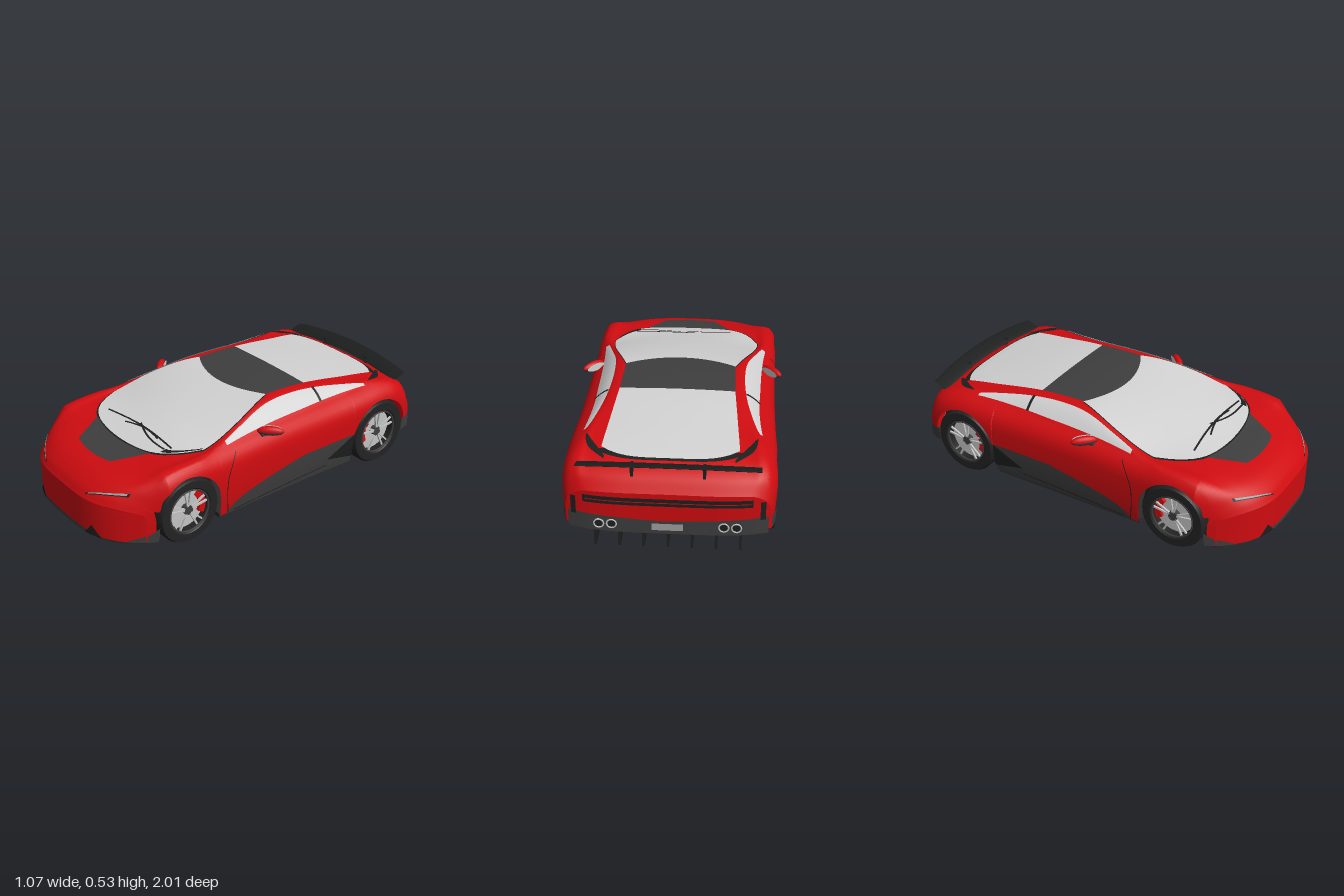
import * as THREE from 'three';
import { toCreasedNormals } from 'three/addons/utils/BufferGeometryUtils.js';

const paint = (name, color) => new THREE.MeshStandardMaterial({ name, color, side: THREE.DoubleSide });
const M = {
  red: paint('red paint', 0xcf0c10), glass: paint('pale glass', 0xd2d2d2),
  charcoal: paint('charcoal trim', 0x3e3e3e), black: paint('black trim', 0x1d1f1f),
  under: paint('underbody grey', 0x2b2b2b), rubber: paint('tyre rubber', 0x222222),
  silver: paint('silver metal', 0xc4c4c4), light: paint('lamp grey', 0xa0a0a0),
};
const { lerp, clamp } = THREE.MathUtils;

// Body stations: z, widest x, shoulder x, shoulder y, rail x, rail y, centre y
const ST = [
  [1.00, .462, .45, .22, .30, .25, .255], [.97, .482, .455, .25, .32, .288, .298],
  [.90, .505, .47, .31, .36, .335, .345], [.80, .512, .475, .36, .38, .37, .37],
  [.66, .514, .475, .398, .40, .40, .39], [.50, .514, .475, .41, .41, .408, .424],
  [.40, .512, .46, .415, .415, .417, .45], [.20, .507, .44, .43, .38, .474, .494],
  [0, .505, .43, .44, .34, .518, .523], [-.2, .505, .425, .445, .33, .522, .528],
  [-.4, .508, .42, .45, .34, .506, .515], [-.6, .514, .43, .455, .37, .477, .49],
  [-.75, .515, .45, .45, .39, .458, .466], [-.87, .514, .47, .42, .40, .434, .442],
  [-.95, .503, .47, .375, .4, .395, .402], [-1, .487, .46, .30, .38, .335, .34],
];
const WHEELS = [[.58, .175, .175], [-.71, .183, .183]]; // z, y, radius

// Smooth interpolation of one station column
function col(z, k) {
  let i = 0;
  while (i < ST.length - 2 && z < ST[i + 1][0]) i++;
  const [a, b] = [ST[i], ST[i + 1]], p = ST[i - 1] ?? a, q = ST[i + 2] ?? b;
  const h = b[0] - a[0], t = clamp((z - a[0]) / h, 0, 1);
  const m0 = h * (b[k] - p[k]) / (b[0] - p[0]), m1 = h * (q[k] - a[k]) / (q[0] - a[0]);
  return a[k] * (1 + 2 * t) * (1 - t) ** 2 + m0 * t * (1 - t) ** 2 + b[k] * t * t * (3 - 2 * t) + m1 * t * t * (t - 1);
}
// Rounds the nose and tail in plan
function warp(z, x) {
  x = Math.abs(x);
  if (z > .7) return z - 2.7 * x ** 3.4 * (z - .7) / .3;
  return z < -.8 ? z + .05 * (x / .5) ** 4 * (-z - .8) / .2 : z;
}
function sideX(z, y) {
  const xm = col(z, 1), ys = col(z, 3), ym = ys * .62;
  return y > ym ? xm - (xm - col(z, 2)) * Math.min(1, (y - ym) / (ys - ym)) ** 4 : xm - .02 * ((ym - y) / .2) ** 2;
}
// Lower edge of the skin, lifted over the wheels
function lowerY(z) {
  const base = z < -.9 ? .14 : .062;
  let y = base;
  for (let pass = 0; pass < 4; pass++) {
    const zz = warp(z, sideX(z, y));
    y = base;
    for (const [wz, wy, r] of WHEELS) {
      const R = r + .013, d = zz - wz;
      if (Math.abs(d) < R) y = Math.max(y, wy + Math.sqrt(R * R - d * d));
    }
  }
  return y;
}
function topY(z, x) {
  x = Math.abs(x);
  const xs = col(z, 2), ys = col(z, 3), xr = col(z, 4), yr = col(z, 5), yc = col(z, 6);
  if (x < xr) return yr + (yc - yr) * (1 - (x / xr) ** 2);
  const t = clamp((xs - x) / (xs - xr), 0, 1);
  return lerp(ys, yr, t) + .008 * Math.sin(Math.PI * t);
}
// Half section as [x, y]: side, window band, then top
const NS = 14, NC = 6, ND = 10, NH = NS + NC + ND;
function halfSection(z, j) {
  if (j <= NS) {
    const y = lerp(lowerY(z), col(z, 3), 1 - (1 - j / NS) ** 1.4);
    return [sideX(z, y), y];
  }
  const x = j <= NS + NC ? lerp(col(z, 2), col(z, 4), (j - NS) / NC) : col(z, 4) * (NH - j) / ND;
  return [x, topY(z, x)];
}

// Grid surface from fn(u, v)
function grid(fn, nu, nv, flip = false) {
  const pos = [], idx = [];
  for (let i = 0; i <= nu; i++) for (let j = 0; j <= nv; j++) pos.push(...fn(i / nu, j / nv));
  for (let i = 0; i < nu; i++) for (let j = 0; j < nv; j++) {
    const a = i * (nv + 1) + j, b = a + nv + 1;
    if (flip) idx.push(a, a + 1, b, b, a + 1, b + 1);
    else idx.push(a, b, a + 1, b, b + 1, a + 1);
  }
  const g = new THREE.BufferGeometry();
  g.setAttribute('position', new THREE.Float32BufferAttribute(pos, 3));
  g.setIndex(idx);
  g.computeVertexNormals();
  return g;
}
// Extrudes a [z, y] outline along x
function slab(pts, x0, depth) {
  const s = new THREE.Shape(pts.map(([z, y]) => new THREE.Vector2(-z, y)));
  return new THREE.ExtrudeGeometry(s, { depth, bevelEnabled: false }).rotateY(Math.PI / 2).translate(x0, 0, 0);
}

export function createModel() {
  const car = new THREE.Group();
  car.name = 'sportsCar';
  const add = (name, geo, mat, parent = car) => {
    const m = new THREE.Mesh(geo, mat);
    m.name = name;
    parent.add(m);
  };
  // Thin panels laid over the top (x, z), flanks (z, y), and nose or tail (x, y)
  const topPanel = (name, mat, fn, nu = 16, nv = 16, lift = .004) => add(name, grid((u, v) => {
    const [x, z] = fn(u, v);
    return [x, topY(z, x) + lift, warp(z, x)];
  }, nu, nv), mat);
  const sidePanel = (name, mat, fn, nu = 8, nv = 24, lift = .004) => [1, -1].forEach(s => add(name, grid((u, v) => {
    const [z, y] = fn(u, v), x = sideX(z, y);
    return [s * (x + lift), y, warp(z, x)];
  }, nu, nv, s < 0), mat));
  const endPanel = (name, mat, end, x0, x1, lo, hi, lift = .004) => add(name, grid((u, v) => {
    const x = lerp(x0, x1, u);
    return [x, lerp(lo(u), hi(u), v), warp(end, x) + end * lift];
  }, 20, 2, end < 0), mat);

  // Body skin with nose and tail faces
  add('bodyShell', toCreasedNormals(grid((u, v) => {
    const z = 1 - 2 * u, j = Math.round(v * 2 * NH), s = j <= NH ? 1 : -1;
    const [x, y] = halfSection(z, j <= NH ? j : 2 * NH - j);
    return [s * x, y, warp(z, x)];
  }, 250, 2 * NH), .7), M.red);
  for (const end of [1, -1]) add(end > 0 ? 'noseFace' : 'tailFace', grid((u, v) => {
    const [w, y] = halfSection(end, Math.round(v * NH)), x = (2 * u - 1) * w;
    return [x, y, warp(end, x)];
  }, 28, NH, end < 0), M.red);

  // Glass, roof and bonnet panels
  const b = u => 2 * u - 1;
  const screen = (grow, e) => (u, v) => {
    const c = b(u), w = .29 + .115 * Math.sin((1 - v) * Math.PI / 2) + grow;
    return [c * w, lerp(.66 + e - .08 * c * c - .16 * c ** 6, .02 - .09 * c * c, v)];
  };
  topPanel('windscreenSeal', M.black, screen(.004, .01), 24, 24, .003);
  topPanel('windscreen', M.glass, screen(0, 0), 24, 24, .006);
  topPanel('roofPanel', M.charcoal, (u, v) => [b(u) * lerp(.29, .295, v), lerp(.02 - .09 * b(u) ** 2, -.325, v)], 16, 16, .006);
  topPanel('rearScreen', M.glass, (u, v) => [b(u) * lerp(.295, .33, v), lerp(-.325, -.86 + .07 * b(u) ** 4, v)], 16, 20, .006);
  topPanel('rearScreenSeal', M.black, (u, v) => [b(u) * .34, lerp(-.8, -.872 + .05 * b(u) ** 4, v)], 16, 6, .003);
  topPanel('bonnetPanel', M.charcoal, (u, v) => [b(u) * lerp(.15, .245, v), lerp(.825 - .02 * b(u) ** 2, .668 - .037 * b(u) ** 2, v)]);
  // Wipers
  for (const [x0, z0, x1, z1] of [[.30, .54, -.25, .56], [.28, .57, 0, .52], [.18, .54, -.08, .565]])
    topPanel('wiper', M.black, (u, v) => [lerp(x1, x0, u), lerp(z1, z0, u) + .02 * Math.sin(u * Math.PI) * (z1 > z0 ? -1 : 1) + .005 - .01 * v], 14, 1, .012);
  topPanel('wiperCowl', M.black, (u, v) => [lerp(.28, .4, u), lerp(.594, .43, u ** 1.6) - .035 * v * (1 - u * .6)], 8, 2, .009);

  for (const s of [1, -1]) {
    // Side windows, pillar, rear vents and headlamps
    const band = (name, mat, z0, z1, lo, hi, lift) => add(name, grid((u, v) => {
      const z = lerp(z0, z1, v), t = lerp(lo, lo + (hi - lo) * Math.sin(Math.PI * clamp((.36 - z) / 1.02, 0.01, .99)) ** .4, u);
      const x = lerp(col(z, 2), col(z, 4), t);
      return [s * (x + lift), topY(z, x) + lift, z];
    }, 6, 30, s > 0), mat);
    band('sideWindow', M.glass, .31, -.65, .06, .92, .004);
    band('doorPillar', M.black, -.33, -.345, .04, .95, .007);
    topPanel('rearVent', M.black, (u, v) => [s * (lerp(.415, .31, u) + .03 * v * Math.sin(u * Math.PI)), lerp(-.69, -.85, u) - .02 * v], 8, 2);
    topPanel('headlamp', M.black, (u, v) => [s * lerp(.19, .39, u), lerp(.99, .945, u) - (.004 + .014 * u) * v], 10, 2);
    topPanel('headlampLens', M.light, (u, v) => [s * lerp(.205, .38, u), lerp(.985, .944, u) - (.003 + .009 * u) * v], 10, 2, .006);
    // Nose intakes
    endPanel('noseIntake', M.black, 1, s * .19, s * .29, () => .062, u => .068 + .052 * Math.max(0, 1 - Math.abs(u - .5) * 2.2));
    // Door mirror
    const mirror = new THREE.Group();
    mirror.name = 'doorMirror';
    for (const [n, m, t0, sy] of [['mirrorCap', M.red, 0, .028], ['mirrorBase', M.charcoal, Math.PI / 2, .022]])
      add(n, new THREE.SphereGeometry(1, 20, 8, 0, 2 * Math.PI, t0, Math.PI / 2).scale(.07, sy, .022).rotateY(.8).translate(.486, .438, .06), m, mirror);
    add('mirrorGlass', new THREE.CircleGeometry(1, 20).scale(.058, .021, 1).rotateY(Math.PI).translate(0, 0, -.0225).rotateY(.8).translate(.486, .44, .06), M.glass, mirror);
    add('mirrorStalk', new THREE.BoxGeometry(.05, .014, .025).translate(.45, .422, .09), M.charcoal, mirror);
    mirror.scale.x = s;
    car.add(mirror);
  }
  endPanel('noseLip', M.charcoal, 1, -.2, .2, () => .062, () => .082);

  // Flank trim: sill skirt, rear intake, corner flaps, bumper sides, door seam
  const skirtTop = z => .07 + .16 * Math.min(1, (.34 - z) / .5) ** .5 + .008 * clamp(-z * 2, 0, 1);
  sidePanel('sillSkirt', M.charcoal, (u, v) => { const z = lerp(-.511, .339, v); return [z, lerp(.062, skirtTop(z), u)]; });
  sidePanel('flankIntake', M.black, (u, v) => { const z = lerp(-.512, -.33, v); return [z, lerp(lerp(.1, .14, v), lerp(.24, .14, v), u)]; }, 4, 8, .006);
  sidePanel('sillSeam', M.black, (u, v) => { const z = lerp(-.33, .3, v); return [z, lerp(.1, .07, v) + .005 * u]; }, 1, 16, .006);
  sidePanel('doorSeam', M.black, (u, v) => [.335 + .02 * Math.sin(u * 2.6) - .07 * u ** 4 + .005 * v, lerp(.065, .4, u)], 20, 1, .003);
  sidePanel('cornerFlap', M.charcoal, (u, v) => { const z = lerp(.95, 1, v); return [z, lerp(.062, lerp(.14, .1, v), u)]; }, 3, 8);
  for (const s of [1, -1]) endPanel('cornerFlapFront', M.charcoal, 1, s * .395, s * .46, () => .062, u => .064 + .036 * u);
  sidePanel('bumperSide', M.charcoal, (u, v) => { const z = lerp(-1, -.915, v); return [z, lerp(.14, .215, u)]; }, 3, 6);

  // Tail: bumper, lamp bar, vents, plate and exhausts
  endPanel('rearBumper', M.charcoal, -1, -.475, .475, () => .12, u => .19 + .025 * Math.abs(b(u)));
  endPanel('lampBar', M.black, -1, -.4, .4, () => .275, () => .315);
  endPanel('lampStrip', M.red, -1, -.39, .39, () => .292, () => .297, .006);
  endPanel('plate', M.light, -1, -.075, .075, () => .14, () => .178, .006);
  for (const s of [1, -1]) {
    endPanel('tailVent', M.black, -1, s * .435, s * .46, () => .2, () => .3);
    for (const x of [.265, .325]) {
      add('exhaustPipe', new THREE.CylinderGeometry(.023, .023, .05, 20, 1, true).rotateX(Math.PI / 2).translate(s * x, .165, -.98), M.silver);
      add('exhaustBore', new THREE.CircleGeometry(.022, 20).rotateY(Math.PI).translate(s * x, .165, -1.001), M.black);
      add('exhaustRim', new THREE.TorusGeometry(.023, .004, 6, 20).translate(s * x, .165, -1.002), M.silver);
    }
  }

  // Rear wing on two struts
  add('rearWing', toCreasedNormals(grid((u, v) => {
    const x = b(u) * .435, a = v * 2 * Math.PI, c = Math.cos(a), e = (x / .435) ** 2;
    return [x, .462 - .016 * c + .006 * Math.sin(a) - .026 * e, -.945 + .045 * c + .035 * e];
  }, 24, 14), .9), M.black);
  for (const s of [1, -1]) add('wingStrut', new THREE.BoxGeometry(.014, .07, .04).translate(s * .17, .425, -.93), M.black);

  // Underbody: floor, sloped diffuser, fins and keel
  const half = [.1, .2, .28, .35, .41, .455].map(x => [x, warp(1, x) - .006]);
  half.push([.455, .77], [.36, .765], [.36, .39], [.482, .385], [.482, -.5], [.36, -.52], [.36, -.62]);
  const outline = [[0, .994], ...half, ...half.map(([x, z]) => [-x, z]).reverse()].map(p => new THREE.Vector2(...p));
  add('floor', new THREE.ExtrudeGeometry(new THREE.Shape(outline), { depth: .024, bevelEnabled: false })
    .rotateX(Math.PI / 2).translate(0, .072, 0), M.under);
  add('diffuser', grid((u, v) => [b(u) * lerp(.36, .46, v), lerp(.05, .125, v), lerp(-.6, -.985, v)], 2, 4), M.under);
  for (let i = -3; i <= 3; i++)
    add('diffuserFin', slab([[-.62, .055], [-.86, .04], [-1, .04], [-.99, .12], [-.95, .125]], i * .115 - .006, .012), M.black);
  for (const s of [1, -1])
    add('keel', grid((u, v) => [s * lerp(.13, .39, u) * v, .004 + .042 * v, lerp(-.14, -.62, v)], 2, 2, s < 0), M.black);

  // Wheels with wells, discs, calipers and twin spokes
  const tyreProfile = [[.64, -.06], [.94, -.062], [1, -.045], [1, .045], [.95, .06], [.72, .06], [.67, .052], [.66, 0]];
  for (const s of [1, -1]) for (const [wz, wy, r] of WHEELS) {
    const arc = Array.from({ length: 25 }, (_, i) => {
      const a = lerp(-.6, Math.PI + .6, i / 24);
      return [wz + (r + .02) * Math.cos(a), wy + (r + .02) * Math.sin(a)];
    });
    add('wheelWell', slab(arc, s > 0 ? .3 : -.44, .14), M.black);
    const wheel = new THREE.Group(), rim = r * .66;
    wheel.name = wz > 0 ? 'frontWheel' : 'rearWheel';
    const disc = (name, rad, len, x, mat) => add(name, new THREE.CylinderGeometry(rad, rad, len, 32).rotateZ(-Math.PI / 2).translate(x, 0, 0), mat, wheel);
    const pts = tyreProfile.map(([a, y]) => new THREE.Vector2(a * r, y));
    add('tyre', toCreasedNormals(new THREE.LatheGeometry(pts, 40).rotateZ(-Math.PI / 2), .6), M.rubber, wheel);
    add('rimLip', new THREE.TorusGeometry(rim, .006, 6, 36).rotateY(Math.PI / 2).translate(.052, 0, 0), M.charcoal, wheel);
    disc('innerFace', rim, .004, -.05, M.black);
    disc('brakeDisc', rim * .94, .012, .01, M.silver);
    disc('hub', .026, .03, .032, M.charcoal);
    for (let i = 0; i < 5; i++) for (const k of [-.16, .16])
      add('spoke', new THREE.BoxGeometry(.01, rim * .8, .009).translate(.042, rim * .58, 0).rotateX(i * Math.PI * .4 + k), M.silver, wheel);
    const dir = wz > 0 ? -1 : 1, caliper = new THREE.Shape();
    caliper.absarc(0, 0, rim * .96, -.5, .8, false);
    caliper.absarc(0, 0, rim * .66, .8, -.5, true);
    add('brakeCaliper', new THREE.ExtrudeGeometry(caliper, { depth: .02, bevelEnabled: false, curveSegments: 8 })
      .rotateY(dir < 0 ? Math.PI / 2 : -Math.PI / 2).translate(dir < 0 ? .015 : .035, 0, 0), M.red, wheel);
    wheel.position.set(s * .447, wy, wz);
    wheel.scale.x = s;
    car.add(wheel);
  }
  return car;
}
